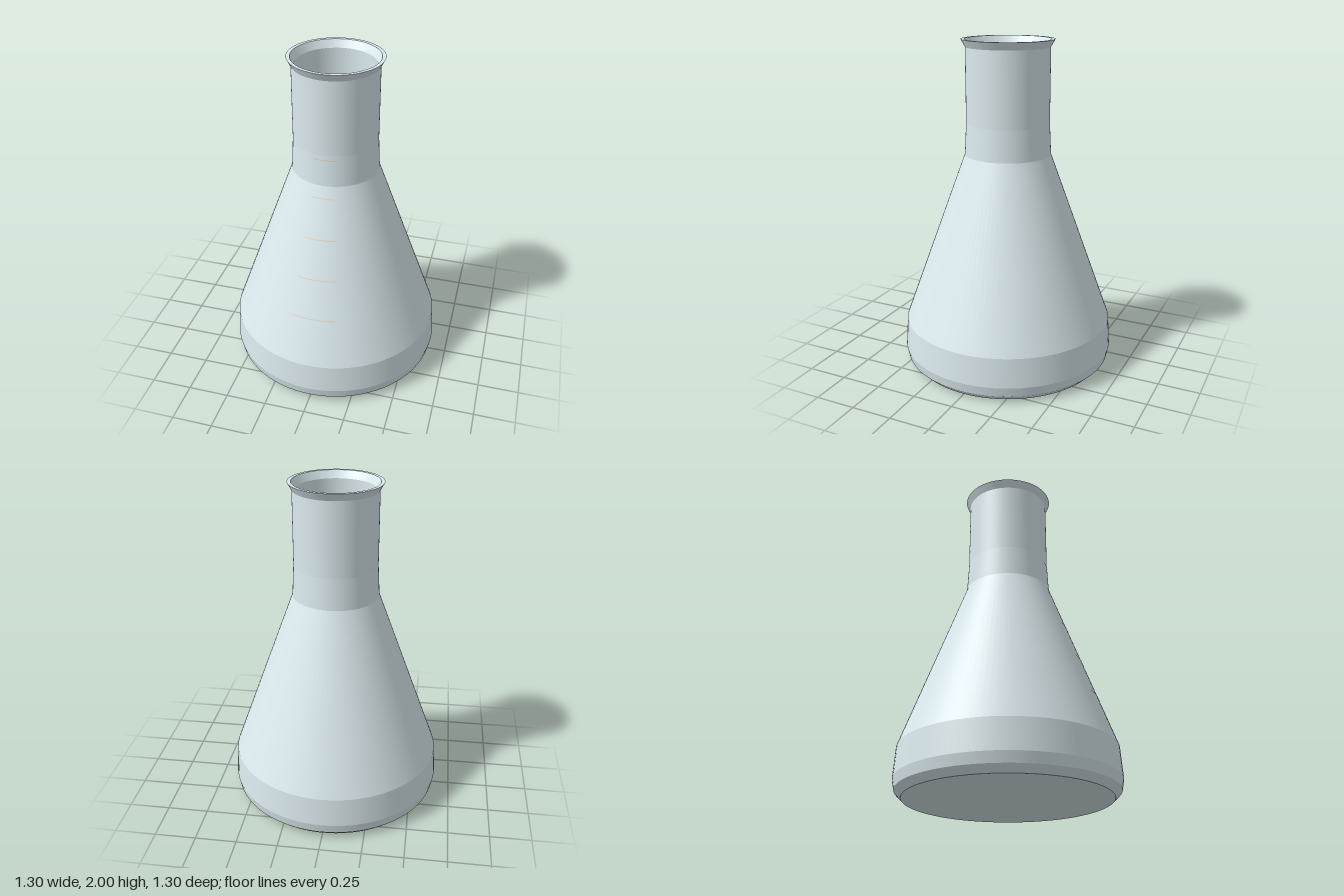
import * as THREE from 'three';
import { mergeGeometries } from 'three/addons/utils/BufferGeometryUtils.js';

// Lathes each profile step on its own: smooth around, crisp edges between steps
function bandedLathe(profile, sides = 96) {
  const bands = [];
  for (let i = 0; i < profile.length - 1; i++) {
    const pair = [profile[i], profile[i + 1]].map(([r, y]) => new THREE.Vector2(r, y));
    bands.push(new THREE.LatheGeometry(pair, sides));
  }
  return mergeGeometries(bands);
}

export function createModel() {
  const group = new THREE.Group();
  group.name = 'conicalFlask';
  const glass = new THREE.MeshStandardMaterial({ color: 0xdcebef });
  const ink = new THREE.MeshStandardMaterial({ color: 0xe6d6c2, side: THREE.DoubleSide });

  const add = (name, geometry, material) => {
    const mesh = new THREE.Mesh(geometry, material);
    mesh.name = name;
    group.add(mesh);
  };

  // Outer wall, from the centre of the base up to the flared lip
  const outer = [
    [0, 0], [0.6, 0], [0.64, 0.04], [0.652, 0.1], [0.64, 0.28],
    [0.26, 1.32], [0.25, 1.51], [0.25, 1.955], [0.275, 2],
  ];
  add('outerWall', bandedLathe(outer), glass);

  // Flat rim, then the inside from the mouth down to the floor
  const inner = [
    [0.275, 2], [0.254, 2], [0.23, 1.955], [0.23, 1.51], [0.24, 1.325],
    [0.62, 0.28], [0.632, 0.1], [0.62, 0.05], [0.59, 0.02], [0, 0.02],
  ];
  add('rimAndInnerWall', bandedLathe(inner), glass);

  // Graduation marks: thin arcs on the front, following the wall
  const radiusAt = (y) => {
    const i = outer.findIndex((p) => p[1] >= y);
    const [r0, y0] = outer[i - 1], [r1, y1] = outer[i];
    return r0 + ((r1 - r0) * (y - y0)) / (y1 - y0);
  };
  const halfAngle = 0.25;
  for (let i = 0; i < 5; i++) {
    const y = 0.56 + i * 0.23;
    const edges = [y - 0.003, y + 0.003].map((h) => new THREE.Vector2(radiusAt(h) + 0.002, h));
    add(`graduationMark${i + 1}`, new THREE.LatheGeometry(edges, 12, -halfAngle, 2 * halfAngle), ink);
  }

  return group;
}
